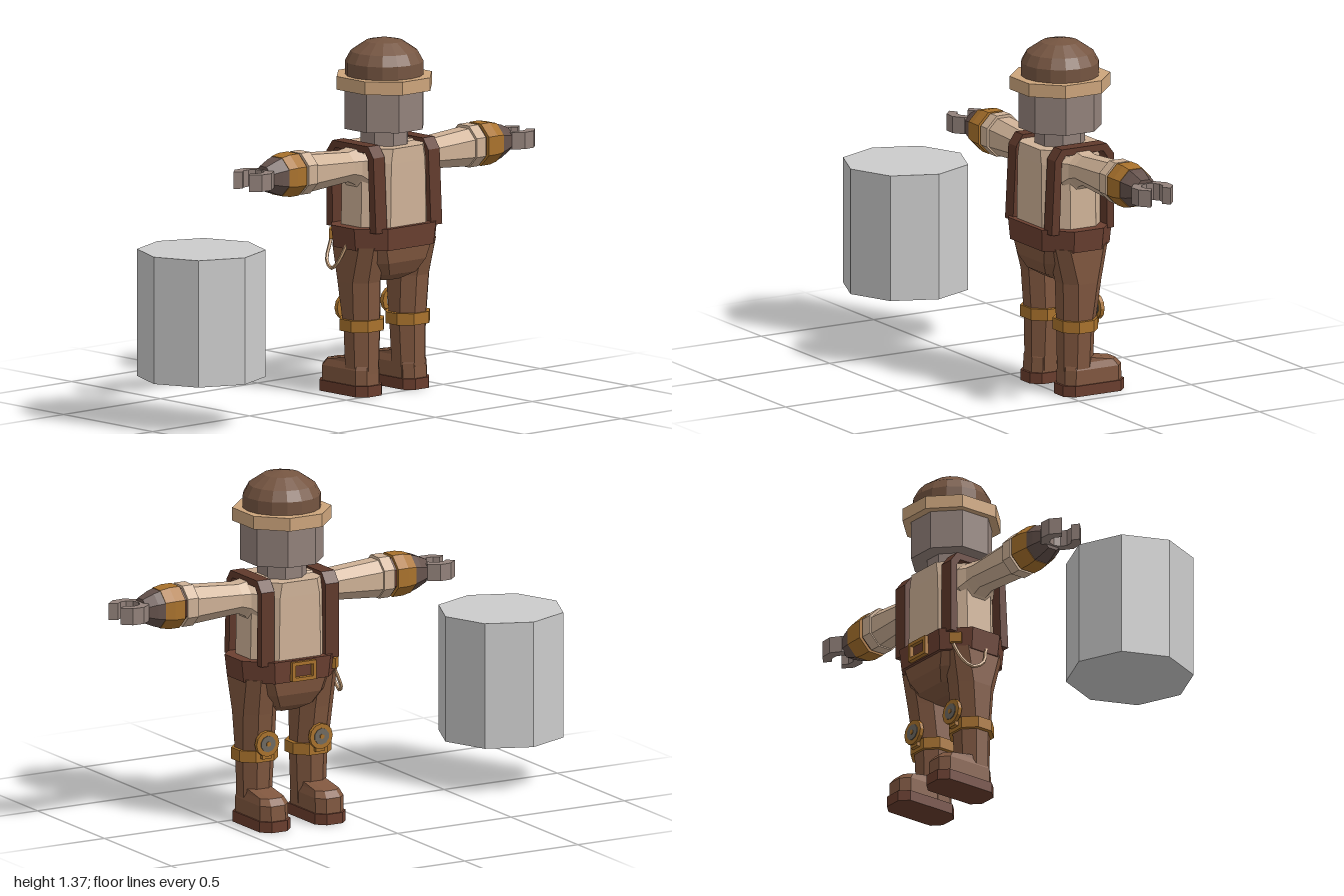
import * as THREE from 'three';

const C = {
  grey: 0xcccccc, skin: 0x93827b, cap: 0x755541, brim: 0xcda57c, shirt: 0xcfb297, strap: 0x60392b,
  belt: 0x6b4031, trouser: 0x80573f, sole: 0x6a3d2d, brass: 0xa9722c, glove: 0x66534d, metal: 0x6f6a62,
};

function part(name, geometry, color, pos = [0, 0, 0]) {
  const material = new THREE.MeshStandardMaterial({ color, flatShading: true });
  const mesh = new THREE.Mesh(geometry, material);
  mesh.name = name;
  mesh.position.set(...pos);
  return mesh;
}

// Capped eight-sided loft; each section is [y, centreX, centreZ, halfX, halfZ]
function loft(sections, chamfer = 0.586) {
  const v = [], idx = [];
  for (const [y, cx, cz, hx, hz] of sections) {
    const c = chamfer * Math.min(hx, hz), a = hx - c, b = hz - c;
    const ring = [[hx, -b], [hx, b], [a, hz], [-a, hz], [-hx, b], [-hx, -b], [-a, -hz], [a, -hz]];
    for (const [x, z] of ring) v.push(cx + x, y, cz + z);
  }
  const top = (sections.length - 1) * 8;
  for (let r = 0; r < top; r += 8) {
    for (let i = 0; i < 8; i++) {
      const a = r + i, b = r + (i + 1) % 8;
      idx.push(a, a + 8, b, b, a + 8, b + 8);
    }
  }
  for (let i = 1; i < 7; i++) idx.push(0, i, i + 1, top, top + i + 1, top + i);
  const g = new THREE.BufferGeometry();
  g.setAttribute('position', new THREE.Float32BufferAttribute(v, 3));
  g.setIndex(idx);
  const flat = g.toNonIndexed();
  flat.computeVertexNormals();
  return flat;
}

const prism = (y0, y1, hx, hz) => loft([[y0, 0, 0, hx, hz], [y1, 0, 0, hx, hz]]);

function extrude(shape, depth) {
  const g = new THREE.ExtrudeGeometry(shape, { depth, bevelEnabled: false });
  return g.translate(0, 0, -depth / 2);
}

const polygon = (pts) => new THREE.Shape(pts.map(([x, y]) => new THREE.Vector2(x, y)));

// Rectangular frame with an opening
function frame(w, h, t, depth) {
  const rect = (a, b) => [[-a, -b], [a, -b], [a, b], [-a, b]];
  const s = polygon(rect(w / 2, h / 2));
  s.holes.push(polygon(rect(w / 2 - t, h / 2 - t)));
  return extrude(s, depth);
}

// Gripping hand: an angular C opening along +x
function handGeometry() {
  const outer = [], inner = [];
  for (let i = 0; i <= 8; i++) {
    const a = THREE.MathUtils.degToRad(32 + (296 * i) / 8);
    outer.push([Math.cos(a) * 0.075, Math.sin(a) * 0.082]);
    inner.unshift([Math.cos(a) * 0.042, Math.sin(a) * 0.042]);
  }
  return extrude(polygon([...outer, ...inner]), 0.065).rotateX(Math.PI / 2);
}

function makeArm(side, name) {
  const arm = new THREE.Group();
  arm.name = name;
  arm.position.y = 0.893;
  // Sections: [distance from centre, height offset, half height, half depth]
  const along = (rows) => loft(rows.map(([d, dy, hy, hz]) => [d, -side * dy, 0, hy, hz]))
    .rotateZ(-side * Math.PI / 2);
  arm.add(
    part('sleeve', along([[0.08, -0.02, 0.092, 0.09], [0.15, -0.018, 0.088, 0.085], [0.175, -0.008, 0.068, 0.068],
      [0.21, -0.003, 0.057, 0.062], [0.42, -0.003, 0.073, 0.066]]), C.shirt),
    part('sleeveCuff', along([[0.41, 0, 0.08, 0.074], [0.457, 0, 0.08, 0.074]]), C.shirt),
    part('brassBand', along([[0.47, 0, 0.081, 0.077], [0.515, 0, 0.081, 0.077], [0.553, 0, 0.074, 0.07]]), C.brass),
    part('wristLining', along([[0.45, 0, 0.07, 0.064], [0.48, 0, 0.07, 0.064]]), C.strap),
    part('glove', along([[0.545, 0, 0.074, 0.071], [0.58, 0, 0.064, 0.062], [0.625, 0, 0.045, 0.045]]), C.glove),
  );
  const hand = part('hand', handGeometry(), C.skin, [side * 0.675, 0, 0]);
  if (side < 0) hand.rotation.y = Math.PI;
  arm.add(hand);
  return arm;
}

function makeLeg(side, name) {
  const leg = new THREE.Group();
  leg.name = name;
  const x = side * 0.118;
  leg.add(
    part('trouserLeg', loft([[0.03, side * 0.12, 0.007, 0.06, 0.062], [0.25, x, 0.003, 0.068, 0.068],
      [0.44, side * 0.125, -0.005, 0.073, 0.085], [0.58, side * 0.13, 0, 0.07, 0.115]]), C.trouser),
    part('kneeBand', loft([[0.25, x, 0.003, 0.085, 0.078], [0.295, x, 0.003, 0.085, 0.078]]), C.brass),
    part('bootSole', loft([[0, side * 0.122, -0.055, 0.068, 0.135], [0.042, side * 0.122, -0.055, 0.068, 0.135]], 0.5), C.sole),
    part('boot', loft([[0.04, side * 0.122, -0.055, 0.062, 0.126], [0.1, side * 0.122, -0.055, 0.062, 0.124],
      [0.125, side * 0.122, -0.047, 0.052, 0.11], [0.143, side * 0.122, 0.005, 0.05, 0.062]], 0.5), C.trouser),
  );
  // Round knee badge
  const disc = (r, h, n) => new THREE.CylinderGeometry(r, r, h, n).rotateX(Math.PI / 2);
  leg.add(
    part('kneeBadge', disc(0.05, 0.016, 12), C.brass, [x, 0.325, -0.089]),
    part('kneeBadgeCentre', disc(0.032, 0.02, 10), C.metal, [x, 0.325, -0.09]),
    part('kneeBadgeStud', disc(0.01, 0.024, 6), C.brass, [x, 0.325, -0.091]),
    part('kneeBadgeMount', new THREE.BoxGeometry(0.04, 0.05, 0.03), C.brass, [x, 0.29, -0.075]),
  );
  return leg;
}

// Inverted-U brace running over the shoulder
function braceGeometry() {
  const path = [[0.14, 0.64], [0.125, 0.93], [0.095, 0.972], [-0.105, 0.972], [-0.137, 0.93], [-0.137, 0.64],
    [-0.105, 0.64], [-0.107, 0.92], [-0.09, 0.945], [0.08, 0.945], [0.095, 0.92], [0.105, 0.64]];
  return extrude(polygon(path), 0.058).rotateY(-Math.PI / 2);
}

export function createModel() {
  const model = new THREE.Group();
  model.name = 'model';

  // Freestanding eight-sided block
  model.add(part('octagonalBlock', new THREE.CylinderGeometry(0.245, 0.245, 0.49, 8), C.grey, [-0.755, 0.43, 0.007]));

  const figure = new THREE.Group();
  figure.name = 'figure';
  figure.position.set(0.255, 0, -0.065);
  model.add(figure);

  // Head and cap
  const dome = [[0.15, 1.215], [0.15, 1.272], [0.128, 1.312], [0.072, 1.35], [0, 1.365]]
    .map(([r, y]) => new THREE.Vector2(r, y));
  figure.add(
    part('neck', prism(0.94, 1.03, 0.087, 0.09), C.skin),
    part('head', prism(1.018, 1.18, 0.147, 0.148), C.skin),
    part('capBrim', prism(1.17, 1.221, 0.172, 0.181), C.brim),
    part('capDome', new THREE.LatheGeometry(dome, 16), C.cap),
  );

  // Torso, belt and hips
  figure.add(
    part('shirt', loft([[0.62, 0, 0, 0.172, 0.136], [0.9, 0, 0, 0.166, 0.135], [0.957, 0, 0, 0.155, 0.134]]), C.shirt),
    part('belt', loft([[0.57, 0, 0, 0.205, 0.15], [0.655, 0, 0, 0.215, 0.156]]), C.belt),
    part('hips', loft([[0.435, 0, 0, 0.065, 0.055], [0.465, 0, 0, 0.13, 0.105],
      [0.515, 0, 0, 0.172, 0.13], [0.575, 0, 0, 0.195, 0.138]]), C.trouser),
  );
  for (const s of [-1, 1]) figure.add(part(s > 0 ? 'leftBrace' : 'rightBrace', braceGeometry(), C.strap, [s * 0.142, 0, 0]));

  // Belt fittings
  figure.add(part('beltBuckle', frame(0.105, 0.075, 0.014, 0.018), C.brass, [0, 0.612, -0.161]));
  const clip = part('beltClip', new THREE.BoxGeometry(0.045, 0.04, 0.02), C.brass, [-0.168, 0.612, -0.11]);
  clip.rotation.y = Math.PI * 1.25;
  figure.add(clip);
  const cord = new THREE.CatmullRomCurve3([[-0.165, 0.585, -0.12], [-0.2, 0.515, -0.105], [-0.215, 0.488, -0.065],
    [-0.222, 0.515, -0.02], [-0.2, 0.59, 0.01]].map((p) => new THREE.Vector3(...p)));
  figure.add(part('hangingCord', new THREE.TubeGeometry(cord, 10, 0.007, 5), C.brim));

  // Limbs
  for (const s of [-1, 1]) {
    const label = s > 0 ? 'left' : 'right';
    figure.add(makeArm(s, label + 'Arm'), makeLeg(s, label + 'Leg'));
  }
  return model;
}
